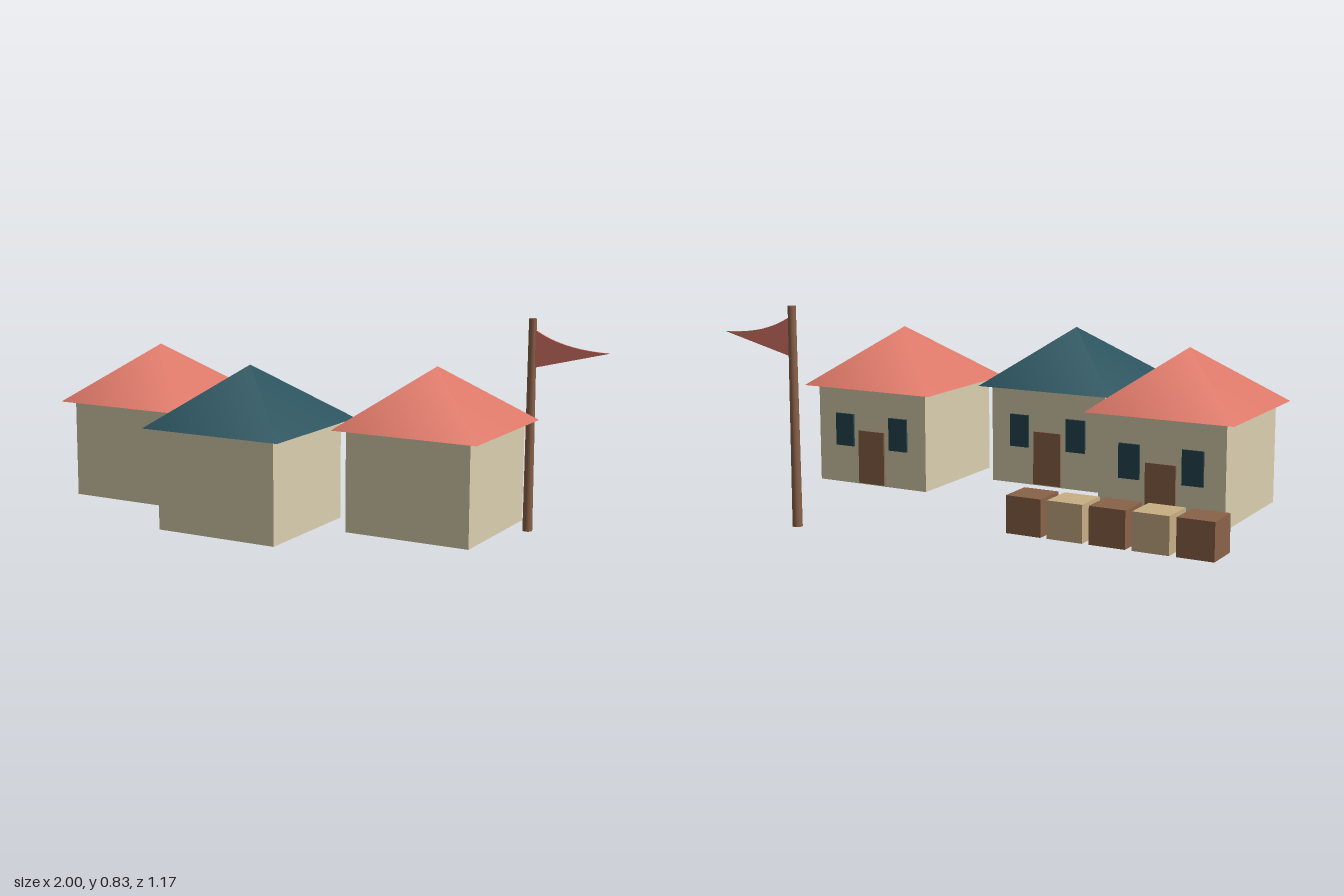
import * as THREE from 'three';

const mat = (color) => new THREE.MeshStandardMaterial({ color });
const COLORS = {
  wall: 0xdbcfb0, red: 0xe07a6a, teal: 0x2c5560, wood: 0x8a6249, tan: 0xc8ae84, glass: 0x24454f,
};

function addMesh(parent, name, geometry, color, x, y, z) {
  const mesh = new THREE.Mesh(geometry, mat(color));
  mesh.name = name;
  mesh.position.set(x, y, z);
  parent.add(mesh);
  return mesh;
}

// Square house with a pyramid roof; door and windows on the back wall
function makeHouse(name, roofColor, x, z) {
  const house = new THREE.Group();
  house.name = name;
  house.position.set(x, 0, z);
  addMesh(house, 'walls', new THREE.BoxGeometry(0.48, 0.375, 0.48), COLORS.wall, 0, 0.3025, 0);
  const roof = new THREE.ConeGeometry(0.28 * Math.SQRT2, 0.214, 4, 1, false, Math.PI / 4);
  addMesh(house, 'roof', roof, roofColor, 0, 0.595, 0);
  addMesh(house, 'door', new THREE.BoxGeometry(0.115, 0.205, 0.016), COLORS.wood, 0, 0.2225, -0.24);
  for (const side of [-1, 1]) {
    const window = new THREE.BoxGeometry(0.08, 0.125, 0.016);
    addMesh(house, side > 0 ? 'leftWindow' : 'rightWindow', window, COLORS.glass, side * 0.12, 0.3225, -0.24);
  }
  return house;
}

// Pole with a pennant whose top edge sags toward the tip
function makeFlag() {
  const flag = new THREE.Group();
  flag.name = 'flag';
  flag.position.set(0.692, 0, -0.518);
  addMesh(flag, 'flagPole', new THREE.CylinderGeometry(0.015, 0.019, 0.827, 16), COLORS.wood, 0, 0.4135, 0);
  const shape = new THREE.Shape();
  shape.moveTo(0.01, 0.64);
  shape.lineTo(0.308, 0.715);
  shape.quadraticCurveTo(0.12, 0.717, 0.01, 0.787);
  shape.closePath();
  const cloth = new THREE.ExtrudeGeometry(shape, { depth: 0.008, bevelEnabled: false, curveSegments: 12 });
  addMesh(flag, 'pennant', cloth, COLORS.red, 0, 0, -0.002);
  return flag;
}

export function createModel() {
  const model = new THREE.Group();
  model.name = 'village';

  model.add(
    makeHouse('rightHouse', COLORS.red, -0.657, 0.005),
    makeHouse('middleHouse', COLORS.teal, -0.056, 0.305),
    makeHouse('leftHouse', COLORS.red, 0.543, 0.005),
    makeFlag(),
  );

  // Row of crates in alternating colours
  const crates = new THREE.Group();
  crates.name = 'crates';
  for (let i = 0; i < 5; i++) {
    const crate = new THREE.BoxGeometry(0.133, 0.133, 0.133);
    addMesh(crates, `crate${i + 1}`, crate, i % 2 ? COLORS.tan : COLORS.wood, -0.9335 + i * 0.157, 0.174, -0.5195);
  }
  model.add(crates);
  return model;
}
